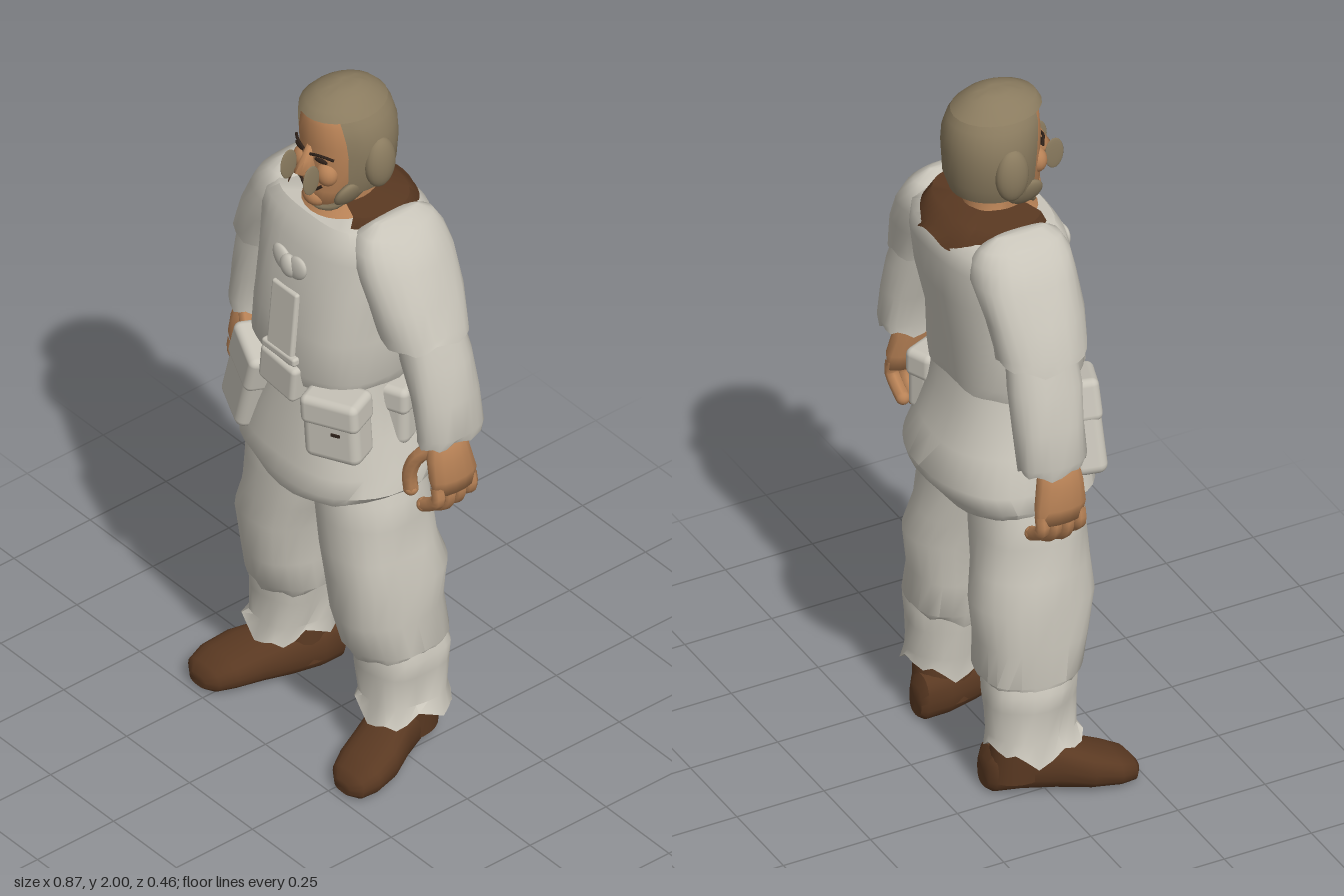
import * as THREE from 'three';
import { toCreasedNormals } from 'three/addons/utils/BufferGeometryUtils.js';
import { RoundedBoxGeometry } from 'three/addons/geometries/RoundedBoxGeometry.js';

const mat = (name, color, side = THREE.FrontSide) => {
  const m = new THREE.MeshStandardMaterial({ color, side });
  m.name = name;
  return m;
};

// Skin of cross-sections [y, x0, x1, z0, z1], listed upwards.
// n: squareness, gap: half angle left open at the front, fold: cloth ripple, jag: ragged lower hem
function loft(rings, { seg = 24, n = 2, gap = 0, fold = 0, jag = 0, side = 1, crease = 0.8 } = {}) {
  const pos = [], idx = [], cols = seg + 1;
  const pow = v => Math.sign(v) * Math.abs(v) ** (2 / n);
  rings.forEach(([y, x0, x1, z0, z1], i) => {
    for (let j = 0; j < cols; j++) {
      const a = Math.PI / 2 + gap + (j % (gap ? cols : seg)) / seg * (2 * Math.PI - 2 * gap);
      const r = 1 + fold * Math.sin(5 * a + y * 17);
      const drop = i === 0 ? jag * (Math.sin(a * 7) + Math.sin(a * 3 + 1)) / 2 : 0;
      pos.push(side * (x0 + x1) / 2 + pow(Math.cos(a)) * r * (x1 - x0) / 2, y + drop,
        (z0 + z1) / 2 + pow(Math.sin(a)) * r * (z1 - z0) / 2);
    }
  });
  for (let i = 0; i < rings.length - 1; i++) for (let j = 0; j < seg; j++) {
    const p = i * cols + j, q = p + cols;
    idx.push(p, q, p + 1, p + 1, q, q + 1);
  }
  // end caps
  if (!gap) for (const i of [0, rings.length - 1]) {
    const [y, x0, x1, z0, z1] = rings[i], c = pos.length / 3;
    pos.push(side * (x0 + x1) / 2, y, (z0 + z1) / 2);
    for (let j = 0; j < seg; j++) {
      const p = i * cols + j;
      idx.push(...(i ? [p, c, p + 1] : [p, p + 1, c]));
    }
  }
  const g = new THREE.BufferGeometry();
  g.setAttribute('position', new THREE.Float32BufferAttribute(pos, 3));
  g.setIndex(idx);
  g.computeVertexNormals();
  return toCreasedNormals(g, crease);
}

export function createModel() {
  const model = new THREE.Group();
  const cloth = mat('off-white cloth', 0xc8c4b9);
  const skin = mat('skin', 0xb88256);
  const brown = mat('brown leather', 0x5a3922, THREE.DoubleSide);
  const capMat = mat('khaki cap', 0x8a7b5f, THREE.DoubleSide);
  const dark = mat('dark line', 0x2e2119);

  const add = (name, geo, material, p = [0, 0, 0], r = [0, 0, 0], s = [1, 1, 1]) => {
    const m = new THREE.Mesh(geo, material);
    m.name = name;
    m.position.set(...p);
    m.rotation.set(...r);
    m.scale.set(...s);
    model.add(m);
    return m;
  };
  const tube = (pts, r, seg = 8) =>
    new THREE.TubeGeometry(new THREE.CatmullRomCurve3(pts.map(p => new THREE.Vector3(...p))), seg, r, 7);
  const ball = new THREE.SphereGeometry(1, 20, 14);

  // Jacket body and skirt
  add('jacketBody', loft([
    [1.16, -0.2, 0.2, -0.15, 0.185], [1.2, -0.215, 0.215, -0.155, 0.198], [1.32, -0.215, 0.215, -0.165, 0.192],
    [1.45, -0.22, 0.22, -0.19, 0.178], [1.56, -0.23, 0.23, -0.2, 0.153], [1.61, -0.23, 0.23, -0.193, 0.135],
    [1.638, -0.19, 0.19, -0.168, 0.115]], { n: 2.6, seg: 36, fold: 0.016, jag: 0.012 }), cloth);
  add('jacketSkirt', loft([
    [0.82, -0.235, 0.235, -0.18, 0.205], [0.86, -0.268, 0.268, -0.205, 0.22], [0.91, -0.258, 0.258, -0.225, 0.21],
    [1.0, -0.225, 0.225, -0.19, 0.195], [1.1, -0.195, 0.195, -0.16, 0.175], [1.19, -0.18, 0.18, -0.145, 0.165]],
  { n: 2.4, seg: 36, fold: 0.015, jag: 0.01 }), cloth);

  // Chest strap, tied bow and buckle
  add('chestStrap', new RoundedBoxGeometry(0.1, 0.22, 0.02, 2, 0.008), cloth, [0, 1.325, 0.19], [-0.09, 0, 0]);
  add('strapBuckle', new RoundedBoxGeometry(0.14, 0.11, 0.06, 2, 0.015), cloth, [0, 1.17, 0.188], [0, 0, -0.1]);
  add('strapBand', new RoundedBoxGeometry(0.13, 0.025, 0.06, 2, 0.008), cloth, [0, 1.235, 0.182]);
  add('bowKnot', ball, cloth, [0, 1.497, 0.173], [0, 0, 0], [0.03, 0.034, 0.018]);
  for (const s of [-1, 1])
    add('bowLoop', ball, cloth, [s * 0.028, 1.503, 0.17], [0, 0, s * 0.8], [0.042, 0.032, 0.013]);

  // Pouches with thin flaps
  const pouch = (size, p, r) => {
    const g = new THREE.Group();
    g.name = 'pouch';
    const [w, h, d] = size;
    const bag = new THREE.Mesh(new RoundedBoxGeometry(w, h, d, 3, 0.025), cloth);
    bag.name = 'pouchBag';
    const flap = new THREE.Mesh(new RoundedBoxGeometry(w + 0.006, h * 0.45, d + 0.008, 3, 0.02), cloth);
    flap.name = 'pouchFlap';
    flap.position.y = h * 0.28;
    g.add(bag, flap);
    g.position.set(...p);
    g.rotation.set(...r);
    model.add(g);
    return g;
  };
  const leftPouch = pouch([0.16, 0.19, 0.1], [0.172, 1.085, 0.155], [0, 0.4, 0.06]);
  const tab = new THREE.Mesh(new THREE.BoxGeometry(0.025, 0.008, 0.006), dark);
  tab.name = 'pouchTab';
  tab.position.set(0.02, 0, 0.051);
  leftPouch.add(tab);
  pouch([0.15, 0.26, 0.09], [-0.175, 1.035, 0.15], [-0.1, -0.35, -0.27]);
  pouch([0.08, 0.18, 0.18], [0.175, 1.055, -0.075], [0, 0.4, 0]);

  // Fur collar open at the throat, and neck
  add('collar', loft([
    [1.605, -0.15, 0.15, -0.203, 0.1], [1.635, -0.168, 0.168, -0.184, 0.105],
    [1.667, -0.16, 0.16, -0.15, 0.085], [1.672, -0.07, 0.07, -0.09, 0.05]],
  { n: 2.6, seg: 48, jag: 0.02, gap: 0.75 }), brown);
  add('neck', loft([[1.6, -0.12, 0.12, -0.1, 0.12], [1.642, -0.1, 0.1, -0.1, 0.1],
    [1.665, -0.075, 0.075, -0.095, 0.075], [1.74, -0.075, 0.075, -0.1, 0.06]]), skin);

  // Head
  add('head', loft([
    [1.655, -0.035, 0.035, 0.0, 0.085], [1.675, -0.06, 0.06, -0.05, 0.105], [1.72, -0.085, 0.085, -0.09, 0.108],
    [1.79, -0.1, 0.1, -0.11, 0.104], [1.86, -0.104, 0.104, -0.12, 0.108], [1.92, -0.092, 0.092, -0.11, 0.105],
    [1.955, -0.072, 0.072, -0.08, 0.093], [1.97, -0.045, 0.045, -0.05, 0.06]], { n: 2.2, crease: 1.5 }), skin);
  add('nose', loft([[1.765, -0.02, 0.02, 0.08, 0.135], [1.78, -0.023, 0.023, 0.08, 0.152],
    [1.81, -0.014, 0.014, 0.08, 0.135], [1.85, -0.01, 0.01, 0.08, 0.112]], { seg: 10, crease: 1.5 }), skin);
  add('chin', ball, skin, [0, 1.685, 0.085], [0, 0, 0], [0.038, 0.03, 0.032]);
  add('mouth', tube([[-0.045, 1.742, 0.1], [-0.024, 1.722, 0.108], [0, 1.716, 0.112],
    [0.024, 1.722, 0.108], [0.045, 1.742, 0.1]], 0.004, 14), dark);
  for (const s of [-1, 1]) {
    add('cheek', ball, skin, [s * 0.045, 1.775, 0.085], [0, 0, 0], [0.032, 0.035, 0.028]);
    add('cheekGuard', ball, capMat, [s * 0.045, 1.777, 0.137], [0, 0, 0], [0.004, 0.045, 0.027]);
    add('eye', ball, dark, [s * 0.043, 1.822, 0.103], [0, s * 0.25, 0], [0.021, 0.007, 0.005]);
    add('eyebrow', tube([[s * 0.012, 1.832, 0.113], [s * 0.045, 1.84, 0.106], [s * 0.075, 1.832, 0.086]], 0.004), dark);
  }

  // Close-fitting cap with ear cups, jaw flaps and chin strap
  add('capCrown', loft([
    [1.945, -0.102, 0.102, -0.127, 0.115], [1.968, -0.081, 0.081, -0.105, 0.101], [1.983, -0.06, 0.06, -0.08, 0.068],
    [1.994, -0.036, 0.036, -0.055, 0.035], [2, -0.01, 0.01, -0.025, 0]], { crease: 1.2 }), capMat);
  add('capSides', loft([
    [1.715, -0.105, 0.105, -0.13, 0.1], [1.76, -0.122, 0.122, -0.145, 0.1],
    [1.84, -0.13, 0.13, -0.149, 0.105], [1.885, -0.126, 0.126, -0.147, 0.11], [1.925, -0.113, 0.113, -0.136, 0.113],
    [1.95, -0.096, 0.096, -0.12, 0.11]], { gap: 0.88, crease: 1.2 }), capMat);
  add('chinStrap', tube([[-0.09, 1.72, 0.035], [-0.055, 1.668, 0.07], [0, 1.65, 0.085],
    [0.055, 1.668, 0.07], [0.09, 1.72, 0.035]], 0.009, 16), capMat);

  for (const side of [-1, 1]) {
    const o = { side };
    add('earCup', ball, capMat, [side * 0.122, 1.805, -0.025], [0, 0, 0], [0.031, 0.076, 0.046]);
    add('jawFlap', ball, capMat, [side * 0.078, 1.71, 0.035], [0, 0, -side * 0.45], [0.017, 0.048, 0.05]);

    // Wide short oversleeve, long undersleeve
    add('overSleeve', loft([
      [1.365, 0.19, 0.388, -0.15, 0.085], [1.39, 0.185, 0.38, -0.152, 0.09], [1.47, 0.16, 0.348, -0.162, 0.1],
      [1.56, 0.1, 0.302, -0.172, 0.105], [1.61, 0.09, 0.272, -0.162, 0.1], [1.645, 0.13, 0.232, -0.142, 0.08],
      [1.672, 0.165, 0.195, -0.1, 0.04]], { ...o, n: 2.3, fold: 0.02, jag: 0.015 }), cloth);
    add('underSleeve', loft([
      [1.075, 0.315, 0.43, -0.135, 0.045], [1.1, 0.315, 0.435, -0.14, 0.048], [1.2, 0.29, 0.42, -0.14, 0.05],
      [1.3, 0.255, 0.4, -0.14, 0.055], [1.42, 0.22, 0.35, -0.13, 0.05]],
    { ...o, n: 2.3, fold: 0.025, jag: 0.015 }), cloth);

    // Hand with curled fingers
    add('palm', loft([[0.925, 0.375, 0.428, -0.105, 0.028], [0.97, 0.365, 0.435, -0.108, 0.038],
      [1.03, 0.35, 0.428, -0.095, 0.035], [1.1, 0.34, 0.412, -0.08, 0.02]], { ...o, seg: 14, crease: 1.5 }), skin);
    const digit = (name, pts, r) => {
      const p = pts.map(([x, y, z]) => [side * x, y, z]);
      add(name, tube(p, r), skin);
      add(name + 'Tip', ball, skin, p[p.length - 1], [0, 0, 0], [r, r, r]);
    };
    for (let i = 0; i < 4; i++) {
      const z = -0.088 + i * 0.035, low = [0.865, 0.852, 0.848, 0.862][i];
      digit('finger', [[0.402, 0.95, z], [0.407, 0.91, z], [0.388, low + 0.025, z], [0.348, low, z]], 0.019);
    }
    digit('thumb', [[0.37, 1.05, 0.01], [0.335, 1.01, 0.03], [0.314, 0.95, 0.035], [0.312, 0.9, 0.03]], 0.02);

    // Baggy trouser leg, gathered below the knee
    add('trouserLeg', loft([
      [0.33, 0.075, 0.305, -0.14, 0.105], [0.355, 0.06, 0.315, -0.155, 0.125], [0.45, 0.055, 0.3, -0.15, 0.15],
      [0.57, 0.045, 0.31, -0.165, 0.16], [0.65, 0.025, 0.285, -0.145, 0.16], [0.75, 0.0, 0.275, -0.135, 0.16],
      [0.82, -0.01, 0.265, -0.13, 0.16], [0.95, -0.01, 0.2, -0.12, 0.14]],
    { ...o, n: 2.3, fold: 0.02, jag: 0.02 }), cloth);
    add('trouserCuff', loft([
      [0.15, 0.115, 0.335, -0.145, 0.105], [0.19, 0.12, 0.315, -0.14, 0.09], [0.28, 0.1, 0.315, -0.145, 0.095],
      [0.33, 0.1, 0.32, -0.145, 0.1], [0.38, 0.09, 0.29, -0.13, 0.1]],
    { ...o, n: 2.3, fold: 0.035, jag: 0.03 }), cloth);

    // Boot: foot is a loft laid along z as [z, x0, x1, -top, -sole]
    const foot = loft([
      [-0.14, 0.15, 0.215, -0.1, -0.01], [-0.125, 0.135, 0.235, -0.13, 0], [-0.06, 0.13, 0.26, -0.14, 0],
      [0.02, 0.145, 0.3, -0.14, 0], [0.1, 0.175, 0.345, -0.115, 0], [0.17, 0.2, 0.36, -0.09, 0],
      [0.215, 0.225, 0.35, -0.07, 0], [0.235, 0.255, 0.32, -0.045, -0.01]], { ...o, n: 2.6, seg: 20 });
    add('bootFoot', foot.rotateX(Math.PI / 2), brown);
    add('bootShaft', loft([[0.04, 0.135, 0.27, -0.135, 0.04], [0.12, 0.14, 0.275, -0.13, 0.045],
      [0.22, 0.15, 0.275, -0.12, 0.03]], o), brown);
  }
  return model;
}
